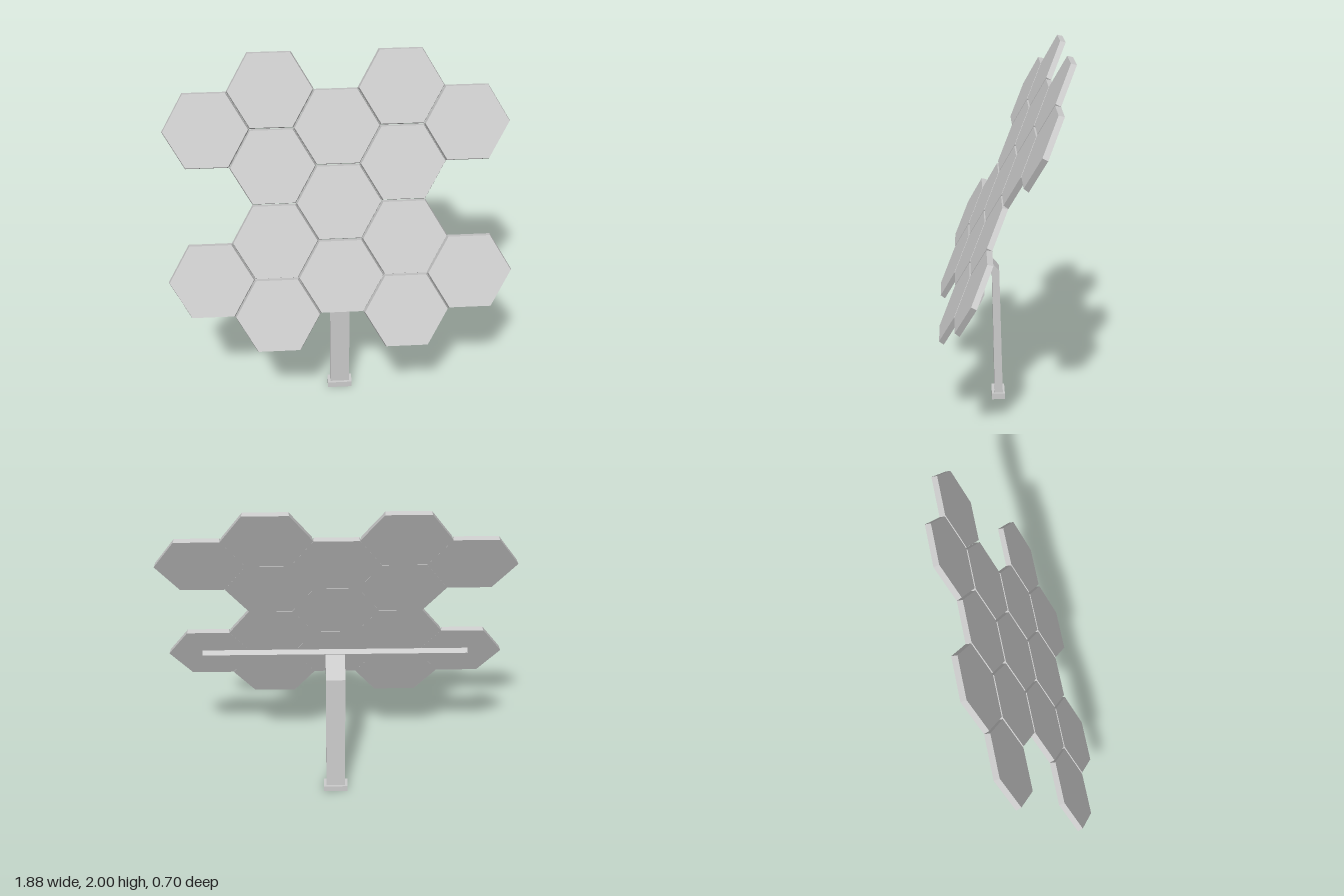
import * as THREE from 'three';

const material = new THREE.MeshStandardMaterial({ color: 0xcccccc, flatShading: true });

function part(name, geometry, parent) {
  const mesh = new THREE.Mesh(geometry, material);
  mesh.name = name;
  parent.add(mesh);
  return mesh;
}

export function createModel() {
  const model = new THREE.Group();
  model.name = 'hexagonalPanelArray';

  // Leaning array of hexagonal panels
  const array = new THREE.Group();
  array.name = 'panelArray';
  array.position.y = 1.2525;
  array.rotation.x = THREE.MathUtils.degToRad(-24.6);
  model.add(array);

  const radius = 0.235, pitch = 0.409, thickness = 0.03;
  const hexagon = new THREE.CylinderGeometry(radius - 0.007, radius, thickness, 6)
    .rotateY(Math.PI / 6)
    .rotateX(Math.PI / 2);

  // Panel rows in each column, mirrored about the centre column
  const columns = [[1, 0, -1], [1.5, 0.5, -0.5, -1.5], [1, -1]];
  columns.forEach((rows, column) => {
    for (const side of column ? [-1, 1] : [1]) {
      for (const row of rows) {
        part('hexPanel', hexagon, array).position.set(side * column * radius * 1.5, row * pitch, 0);
      }
    }
  });

  // Bar across the back of the array
  part('crossbar', new THREE.BoxGeometry(1.5, 0.06, 0.036), array).position.set(0, -0.412, -0.031);

  // Bent post, outlined from the side (z, y)
  const postOutline = new THREE.Shape([
    [0, 0.02], [0.046, 0.02], [0.06, 0.745], [0.145, 0.84], [0.12, 0.885], [0.02, 0.77],
  ].map(([z, y]) => new THREE.Vector2(z, y)));
  const post = new THREE.ExtrudeGeometry(postOutline, { depth: 0.11, bevelEnabled: false })
    .translate(0, 0, -0.055)
    .rotateY(-Math.PI / 2);
  part('post', post, model);

  // Foot collar, hollow underneath
  const rectangle = (Type, w, h) => new Type([
    new THREE.Vector2(-w, -h), new THREE.Vector2(w, -h), new THREE.Vector2(w, h), new THREE.Vector2(-w, h),
  ]);
  const collar = rectangle(THREE.Shape, 0.07, 0.037);
  collar.holes.push(rectangle(THREE.Path, 0.054, 0.022));
  const foot = new THREE.ExtrudeGeometry(collar, { depth: 0.035, bevelEnabled: false }).rotateX(-Math.PI / 2);
  part('foot', foot, model).position.z = 0.026;

  return model;
}
